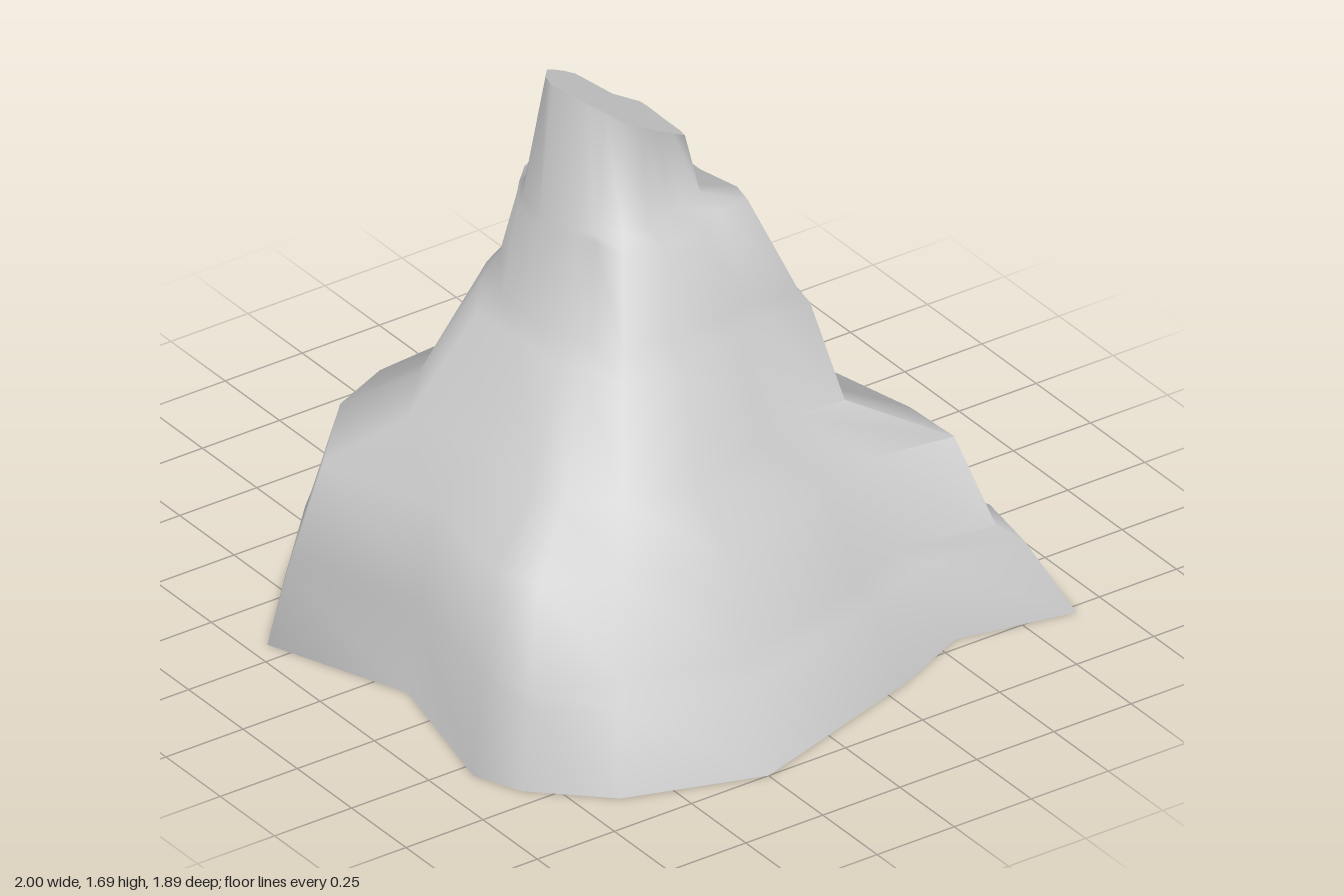
import * as THREE from 'three';
import { toCreasedNormals } from 'three/addons/utils/BufferGeometryUtils.js';

// Each ridge or gully line: foot x, foot z, summit x, summit z, and its profile
// (0 = stepped side, 1 = smooth bulging front, -1 = lean ridge)
const LINES = [
  [-1.0, -0.57, -0.03, -0.06, -0.9], [-0.78, -0.76, 0.0, -0.065, 0],
  [0.1, -0.775, 0.08, -0.06, 0], [0.55, -0.95, 0.15, -0.06, -1],
  [0.78, -0.905, 0.19, -0.05, -0.2], [0.71, -0.56, 0.205, 0.0, 0],
  [0.82, -0.32, 0.225, 0.06, 0], [1.0, 0.25, 0.235, 0.12, 0],
  [0.87, 0.64, 0.235, 0.18, 0.2], [0.69, 0.83, 0.19, 0.21, 1],
  [0.55, 0.89, 0.15, 0.24, 1], [0.1, 0.785, 0.06, 0.29, 1],
  [-0.32, 0.945, -0.01, 0.26, 1], [-0.585, 0.7, -0.09, 0.2, 0.9],
  [-0.72, 0.5, -0.115, 0.15, 0.4], [-0.78, 0.21, -0.125, 0.12, 0],
  [-0.86, 0.115, -0.13, 0.08, -0.9], [-0.545, 0.055, -0.03, 0.03, 0],
  [-0.945, -0.28, -0.03, -0.01, -0.6],
];

// Terraces: height, then spread (1 = foot, 0 = summit) of the side, front and lean
// profiles, and the depth of the extra ledge on the left flank
const RINGS = [
  [0, 1, 1, 1, 0], [0.22, 0.87, 0.93, 0.86, 0], [0.27, 0.8, 0.91, 0.77, 0],
  [0.545, 0.7, 0.8, 0.64, 0], [0.66, 0.42, 0.5, 0.36, 0], [0.96, 0.32, 0.25, 0.32, -0.02],
  [1.0, 0.29, 0.16, 0.29, 0.1], [1.28, 0.16, 0.1, 0.16, 0], [1.3, 0.04, 0.085, 0.04, 0],
  [null, 0, 0, 0, 0],
];

function ringPoints([height, side, front, lean, ledge]) {
  return LINES.map(([fx, fz, sx, sz, profile]) => {
    const flank = side - ledge * Math.max(0, fx + Math.min(0, fz));
    const t = THREE.MathUtils.lerp(flank, profile > 0 ? front : lean, Math.abs(profile));
    const x = sx + (fx - sx) * t;
    const z = sz + (fz - sz) * t;
    // the summit is cut by a slanted plane
    return new THREE.Vector3(x, height ?? 1.51 + 0.61 * z, z);
  });
}

function geometryFrom(points, index) {
  const g = new THREE.BufferGeometry().setFromPoints(points);
  g.setIndex(index);
  return g;
}

// Flat polygon closing a ring, facing up or down
function capGeometry(points, up) {
  const outline = points.map((p) => new THREE.Vector2(p.x, p.z));
  const index = [];
  for (const [a, b, c] of THREE.ShapeUtils.triangulateShape(outline, [])) {
    const ab = outline[b].clone().sub(outline[a]);
    const ac = outline[c].clone().sub(outline[a]);
    const facesUp = ab.y * ac.x - ab.x * ac.y > 0;
    index.push(...(facesUp === up ? [a, b, c] : [a, c, b]));
  }
  const g = geometryFrom(points, index);
  g.computeVertexNormals();
  return g;
}

// Terraced slopes lofted through the rings, sharp only along the thin fins
function slopeGeometry(rings) {
  const n = LINES.length;
  const index = [];
  for (let r = 0; r < rings.length - 1; r++) {
    for (let i = 0; i < n; i++) {
      const j = (i + 1) % n;
      const a = r * n + i, b = r * n + j;
      index.push(a, b + n, b, a, a + n, b + n);
    }
  }
  return toCreasedNormals(geometryFrom(rings.flat(), index), THREE.MathUtils.degToRad(85));
}

export function createModel() {
  const group = new THREE.Group();
  group.name = 'rockSpire';
  const material = new THREE.MeshStandardMaterial({ color: 0xcccccc });
  const rings = RINGS.map(ringPoints);

  const add = (name, geometry) => {
    const mesh = new THREE.Mesh(geometry, material);
    mesh.name = name;
    group.add(mesh);
  };
  add('slopes', slopeGeometry(rings));
  add('summit', capGeometry(rings[rings.length - 1], true));
  add('underside', capGeometry(rings[0], false));
  return group;
}
